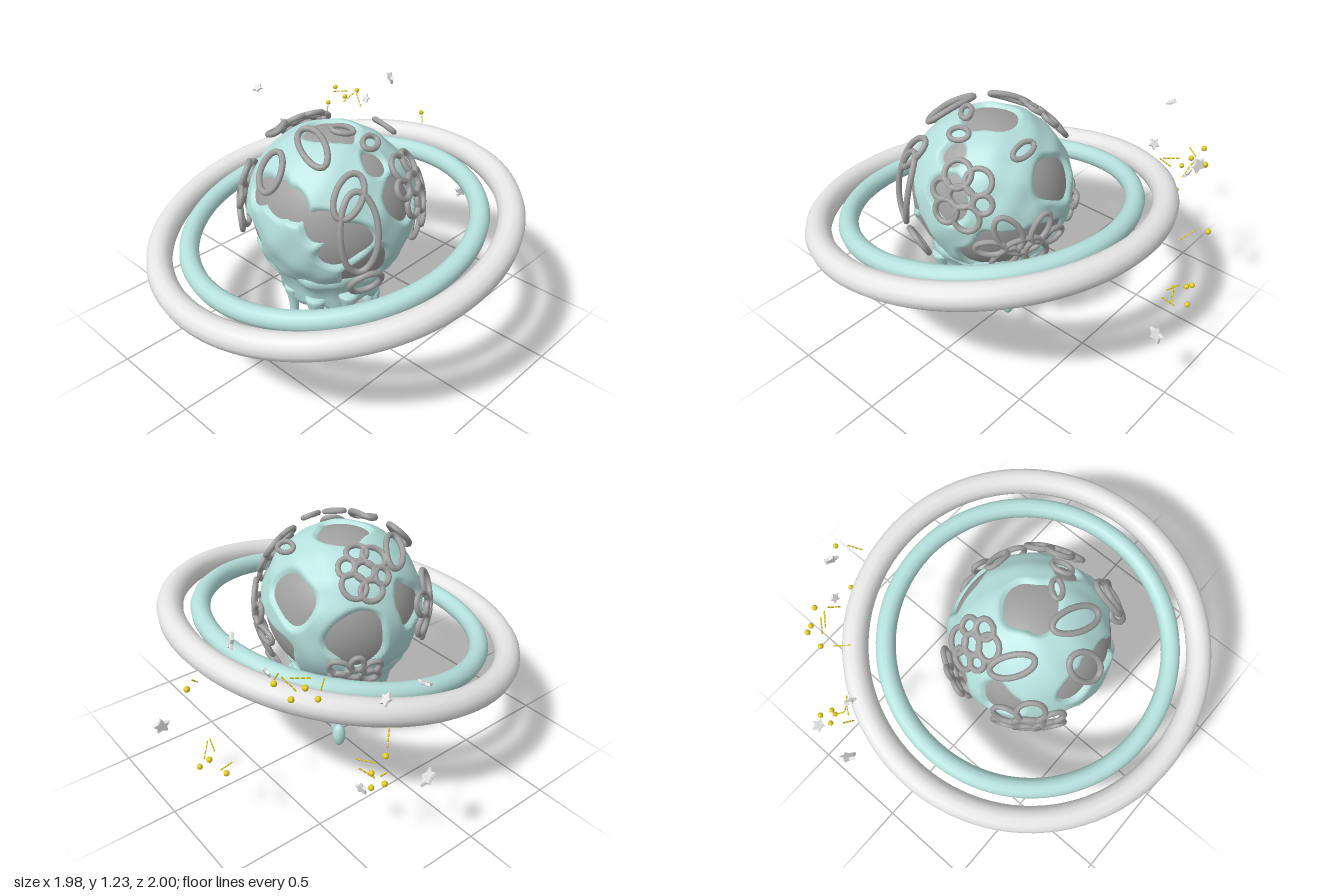
import * as THREE from 'three';

const mat = (name, color, extra = {}) => new THREE.MeshStandardMaterial({ name, color, ...extra });
const V = (x, y, z) => new THREE.Vector3(x, y, z);
const CENTER = V(0.06, 0.77, 0.08);
const UP = V(0, 1, 0);

// smooth lumpy noise on a direction
const noise = (d) => (Math.sin(d.x * 9 + d.y * 5 + 1) + Math.sin(d.y * 11 - d.z * 7) + Math.sin(d.z * 13 + d.x * 6 + 2)) / 3;

// bare patches in the land: direction, angular radius
const HOLES = [
  [0, 1, 0, 0.3], [-0.22, 0.43, 0.87, 0.19], [0.03, 0.43, 0.9, 0.22], [0.27, 0.46, 0.85, 0.18],
  [0.62, 0.25, 0.74, 0.22], [0.8, 0.02, 0.6, 0.27], [-0.46, -0.27, 0.85, 0.22],
  [-0.66, -0.22, 0.72, 0.2], [0.65, 0.75, 0, 0.12], [0.9, 0.35, -0.2, 0.24],
  [0.86, -0.42, 0.25, 0.3], [-0.18, 0.36, -0.9, 0.29], [-0.85, 0.02, -0.5, 0.36],
  [0.6, -0.4, -0.65, 0.42], [0.15, -0.35, -0.92, 0.35], [-0.88, 0.3, 0.3, 0.22],
].map(([x, y, z, r]) => ({ dir: V(x, y, z).normalize(), r }));

// raised land shell; the bare patches are cut away
function landGeometry() {
  const g = new THREE.SphereGeometry(1, 170, 110);
  const p = g.attributes.position, height = [], d = V(0, 0, 0);
  for (let i = 0; i < p.count; i++) {
    d.fromBufferAttribute(p, i).normalize();
    const n = noise(d);
    let edge = 9;
    for (const h of HOLES) edge = Math.min(edge, d.angleTo(h.dir) - h.r);
    const t = THREE.MathUtils.smoothstep(edge + n * 0.09, -0.02, 0.07);
    height.push(t);
    const r = 0.376 + t * (0.035 + 0.005 * Math.sin(d.x * 11 + 1) * Math.sin(d.y * 10 + d.z * 9));
    p.setXYZ(i, d.x * r, d.y * r, d.z * r);
  }
  const src = g.index.array, kept = [];
  for (let i = 0; i < src.length; i += 3) {
    const f = [src[i], src[i + 1], src[i + 2]];
    if (f.some((k) => height[k] > 0.05)) kept.push(...f);
  }
  g.setIndex(kept);
  g.computeVertexNormals();
  return g;
}

// melting skirt below the globe, with a wavy hem, lower at the back
function skirtGeometry() {
  const profile = [[0.13, 0.42], [0.19, 0.36], [0.222, 0.315], [0.242, 0.31], [0.256, 0.34],
    [0.263, 0.385], [0.275, 0.43], [0.305, 0.48], [0.335, 0.52], [0.32, 0.545]];
  const g = new THREE.LatheGeometry(profile.map(([r, y]) => new THREE.Vector2(r, y)), 80);
  const p = g.attributes.position;
  for (let i = 0; i < p.count; i++) {
    const x = p.getX(i), y = p.getY(i), z = p.getZ(i), a = Math.atan2(z, x);
    const low = THREE.MathUtils.clamp((0.45 - y) / 0.15, 0, 1);
    const high = THREE.MathUtils.clamp((y - 0.44) / 0.08, 0, 1);
    const back = high * THREE.MathUtils.clamp(-z / 0.3, 0, 1);
    const wave = Math.sin(a * 7 + 0.6) + 0.5 * Math.sin(a * 4 + 2);
    const s = 1 + 0.03 * Math.sin(a * 7 + 0.6) + 0.02 * Math.sin(a * 12) - 0.12 * back;
    p.setXYZ(i, x * s, y + 0.035 * wave * low + 0.015 * Math.sin(a * 5) * high - 0.05 * back, z * s);
  }
  g.computeVertexNormals();
  return g;
}

// drip hanging from yTop to yBottom with a swollen tip
function dripGeometry(yBottom, yTop, w) {
  const shape = [[0, 0], [0.6, 0.03], [0.95, 0.12], [1, 0.24], [0.82, 0.42], [0.85, 0.6], [1.15, 0.8], [1.6, 1], [0, 1.02]];
  const curve = new THREE.SplineCurve(shape.map(([r, t]) => new THREE.Vector2(r * w, THREE.MathUtils.lerp(yBottom, yTop, t))));
  const pts = curve.getPoints(24).map((q) => new THREE.Vector2(Math.max(q.x, 0), q.y));
  return new THREE.LatheGeometry(pts, 12);
}

// oval loop wrapped round the globe at radius R
function loopGeometry(dir, a, b, roll, tube, R) {
  const n = dir.clone().normalize();
  const side = UP.clone().cross(n).normalize(), up = n.clone().cross(side);
  const c = Math.cos(roll), s = Math.sin(roll), pts = [];
  for (let i = 0; i < 16; i++) {
    const t = (i / 16) * Math.PI * 2;
    const u = Math.cos(t) * a, v = Math.sin(t) * b;
    pts.push(n.clone().multiplyScalar(R).addScaledVector(side, u * c - v * s).addScaledVector(up, u * s + v * c).setLength(R));
  }
  return new THREE.TubeGeometry(new THREE.CatmullRomCurve3(pts, true), 40, tube, 7, true);
}

function starGeometry(r) {
  const s = new THREE.Shape();
  for (let i = 0; i < 10; i++) {
    const a = (i / 10) * Math.PI * 2 + Math.PI / 2, q = i % 2 ? r * 0.55 : r;
    s[i ? 'lineTo' : 'moveTo'](Math.cos(a) * q, Math.sin(a) * q);
  }
  const g = new THREE.ExtrudeGeometry(s, { depth: r * 0.25, bevelEnabled: true, bevelSize: r * 0.1, bevelThickness: r * 0.1, bevelSegments: 2 });
  return g.center();
}

export function createModel() {
  const model = new THREE.Group();
  const teal = mat('pale teal', 0xb5e0dc, { side: THREE.DoubleSide });
  const grey = mat('mid grey', 0xa0a0a0);
  const silver = mat('light grey', 0xe6e6e6);
  const gold = mat('yellow', 0xdfca1c);
  const add = (name, geo, m, parent = model) => {
    const mesh = new THREE.Mesh(geo, m);
    mesh.name = name;
    parent.add(mesh);
    return mesh;
  };
  const group = (name, pos) => {
    const g = new THREE.Group();
    g.name = name;
    if (pos) g.position.copy(pos);
    model.add(g);
    return g;
  };

  // globe
  const globe = group('globe', CENTER);
  add('ocean', new THREE.SphereGeometry(0.39, 64, 40), grey, globe);
  add('land', landGeometry(), teal, globe);

  // tilted rings
  const rings = group('rings', V(0.06, 0.68, 0.077));
  rings.quaternion.setFromUnitVectors(V(0, 0, 1), V(-0.054, 1, 0.163).normalize());
  add('outerRing', new THREE.TorusGeometry(0.866, 0.064, 12, 96), silver, rings);
  add('innerRing', new THREE.TorusGeometry(0.718, 0.049, 12, 96), teal, rings);

  // melting underside
  const melt = group('melt');
  add('skirt', skirtGeometry(), teal, melt).position.set(0.06, 0, 0.08);
  const drips = [[-0.04, -0.03, 0.005, 0.42, 0.032], [0.06, 0.1, 0.04, 0.4, 0.05], [0.17, 0.3, 0.07, 0.38, 0.034],
    [0.3, 0.21, 0.15, 0.42, 0.03], [-0.15, -0.02, 0.22, 0.4, 0.027], [0.02, 0.31, 0.1, 0.38, 0.029],
    [0.17, -0.13, 0.12, 0.4, 0.032], [0.06, -0.14, 0.22, 0.42, 0.03], [-0.11, 0.22, 0.24, 0.42, 0.03], [0.26, 0.02, 0.24, 0.42, 0.03]];
  for (const [x, z, y0, y1, w] of drips) add('drip', dripGeometry(y0, y1, w), teal, melt).position.set(x, 0, z);
  const drop = add('fallingDrop', new THREE.SphereGeometry(0.034, 16, 12), teal, melt);
  drop.scale.set(1, 1.9, 1);
  drop.position.set(-0.17, 0.145, -0.12);

  // oval loops floating over the globe: direction, half sizes, roll
  const bands = group('loops', CENTER);
  const loops = [[0.36, 0.08, 0.2, 0.09, 0.21, 0], [0.35, -0.2, 0.14, 0.08, 0.08, 0], [-0.04, 0.28, 0.33, 0.065, 0.1, 0.4],
    [0.07, 0.4, 0.19, 0.13, 0.055, -0.8], [0.3, 0.24, 0.2, 0.06, 0.11, -0.5], [0.22, 0.39, -0.02, 0.05, 0.034, 0.2],
    [0.11, 0.44, 0.04, 0.05, 0.026, -0.5], [-0.26, 0.34, 0.1, 0.11, 0.05, 0.6],
    [0.1, -0.25, -0.35, 0.08, 0.05, 0.4], [0.08, 0.35, -0.28, 0.065, 0.03, 0.3]];
  for (const [x, y, z, a, b, roll] of loops) {
    const big = a * b > 0.004;
    add('ovalLoop', loopGeometry(V(x, y, z), a, b, roll, big ? 0.015 : 0.013, big ? 0.455 : 0.46), grey, bands);
  }

  // lattice patches, uneven cells round a middle cell: direction, half width, half height
  const lattices = [[0.38, 0.2, -0.17, 0.16, 0.16], [0.2, -0.06, -0.39, 0.25, 0.14], [-0.28, 0.3, -0.1, 0.13, 0.15],
    [-0.33, 0.03, 0.26, 0.2, 0.17], [-0.33, -0.16, -0.19, 0.14, 0.11]];
  for (const [x, y, z, w, h] of lattices) {
    const n = V(x, y, z).normalize();
    const side = UP.clone().cross(n).normalize(), up = n.clone().cross(side);
    add('latticeCell', loopGeometry(n, w * 0.36, h * 0.3, 0, 0.014, 0.448), grey, bands);
    for (let i = 0; i < 6; i++) {
      const t = (i / 6) * Math.PI * 2 + x * 5, k = 1 + 0.2 * Math.sin(i * 2.3 + y * 9);
      const dir = n.clone().multiplyScalar(0.448).addScaledVector(side, Math.cos(t) * w * 0.66).addScaledVector(up, Math.sin(t) * h * 0.66);
      add('latticeCell', loopGeometry(dir, w * 0.34 * k, h * 0.34 * k, t, 0.014, 0.448), grey, bands);
    }
  }

  // drifting stars: position, radius, facing
  const stars = group('stars');
  [[-0.95, 0.48, -0.27, 0.042, 0.5, 0.6, -0.55], [-0.76, 0.81, -0.35, 0.03, 0.2, 0.5, -0.6],
    [-0.94, 0.98, -0.32, 0.027, 0.1, 0.9, 0.4], [-0.45, 0.94, -0.72, 0.024, 0, 0.4, 0.9],
    [-0.35, 1.07, -0.81, 0.034, 0.4, 0.2, -0.9], [-0.7, 0.33, -0.42, 0.03, 0.3, 0.2, 0.9],
    [0.1, 0.45, -0.96, 0.038, 0.95, 0.1, 0.2]].forEach(([x, y, z, r, nx, ny, nz]) => {
    const s = add('star', starGeometry(r), silver, stars);
    s.position.set(x, y, z);
    s.quaternion.setFromUnitVectors(V(0, 0, 1), V(nx, ny, nz).normalize());
  });

  // beads, each with a thin broken streak beside it
  const sparks = group('sparks');
  [[-0.66, 0.96, -0.68], [-0.62, 0.9, -0.72], [-0.55, 0.95, -0.75], [-0.66, 0.88, -0.62],
    [-0.89, 0.66, -0.46], [-0.88, 0.5, -0.45], [-0.83, 0.54, -0.48], [-0.83, 0.46, -0.48],
    [-0.32, 0.4, -0.87], [-0.27, 0.47, -0.92], [-0.21, 0.4, -0.94], [-0.23, 0.84, -0.965]].forEach(([x, y, z], i) => {
    add('bead', new THREE.SphereGeometry(0.0135, 14, 10), gold, sparks).position.set(x, y, z);
    const dir = V(0.5, Math.sin(i * 2.1) * 0.7, -0.6 * Math.cos(i * 0.9)).normalize();
    for (let k = 0; k < 4; k++) {
      const dash = add('streak', new THREE.CylinderGeometry(0.0035, 0.0035, 0.017, 6), gold, sparks);
      dash.position.set(x + 0.045, y, z + 0.05).addScaledVector(dir, k * 0.022);
      dash.quaternion.setFromUnitVectors(UP, dir);
    }
  });
  return model;
}
